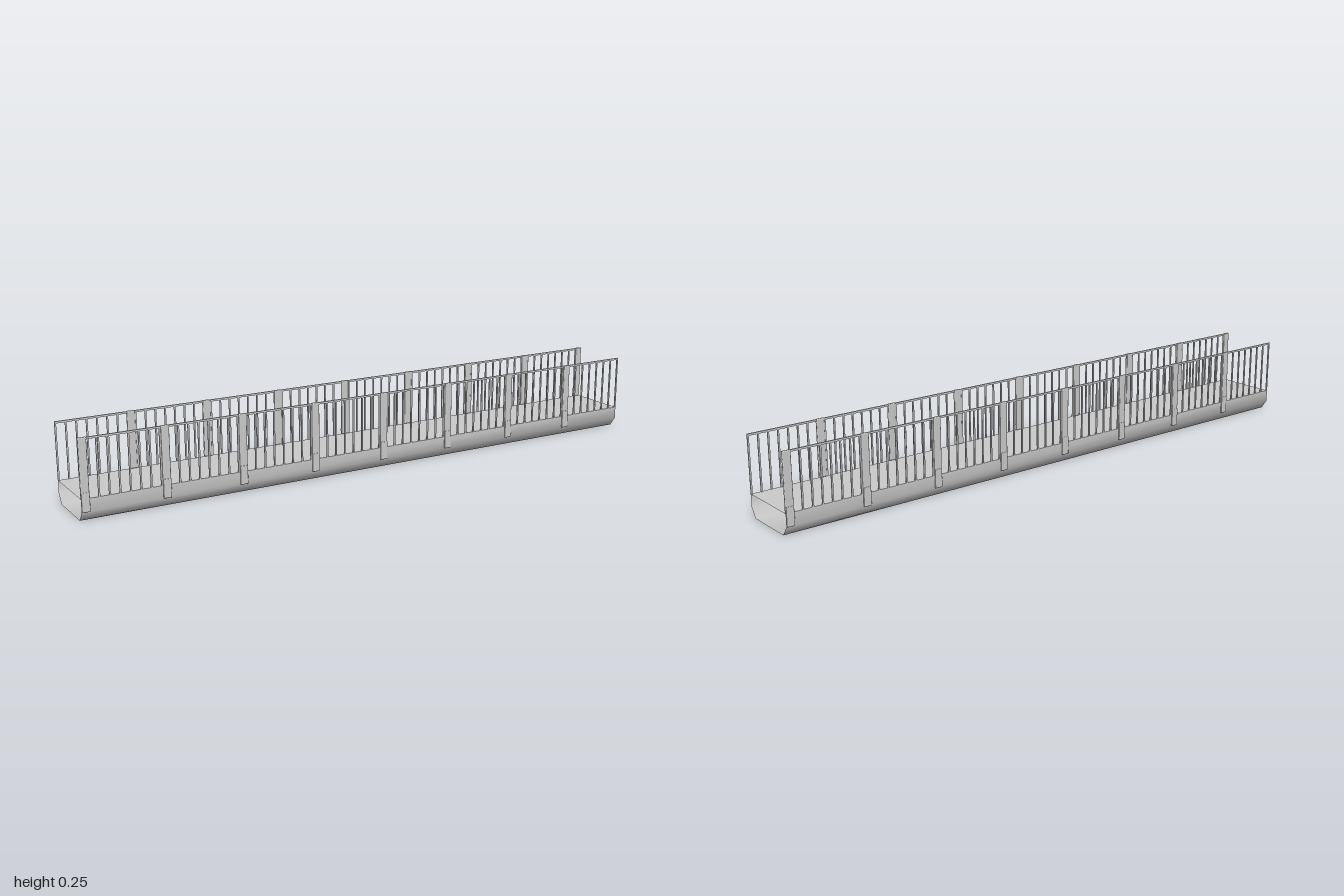
import * as THREE from 'three';
import { RoundedBoxGeometry } from 'three/addons/geometries/RoundedBoxGeometry.js';

const LENGTH = 2, SECTIONS = 8, PITCH = LENGTH / SECTIONS;
const DECK_Y = 0.07, RAIL_TOP = 0.253, HALF_WIDTH = 0.1035;
const POST_WIDTH = 0.026, BARS = 7;

// Thin sheet: a (z, y) profile swept along x, with smooth normals
function sweep(profile) {
  const positions = [], index = [];
  profile.forEach(([z, y], i) => {
    positions.push(-LENGTH / 2, y, z, LENGTH / 2, y, z);
    if (i > 0) {
      const a = 2 * (i - 1);
      index.push(a, a + 2, a + 1, a + 1, a + 2, a + 3);
    }
  });
  const geometry = new THREE.BufferGeometry();
  geometry.setAttribute('position', new THREE.Float32BufferAttribute(positions, 3));
  geometry.setIndex(index);
  geometry.computeVertexNormals();
  return geometry;
}

export function createModel() {
  const model = new THREE.Group();
  model.name = 'footbridge';
  const material = new THREE.MeshStandardMaterial({ color: 0xcccccc });
  const sheet = new THREE.MeshStandardMaterial({ color: 0xcccccc, side: THREE.DoubleSide });

  const add = (parent, name, geometry, mat, x = 0, y = 0, z = 0) => {
    const mesh = new THREE.Mesh(geometry, mat);
    mesh.name = name;
    mesh.position.set(x, y, z);
    parent.add(mesh);
  };

  // Hollow deck, open at both ends
  add(model, 'walkway', sweep([[-HALF_WIDTH, DECK_Y], [HALF_WIDTH, DECK_Y]]), sheet);
  add(model, 'hull', sweep([
    [HALF_WIDTH, DECK_Y], [HALF_WIDTH, 0.03], [0.082, 0],
    [-0.082, 0], [-HALF_WIDTH, 0.03], [-HALF_WIDTH, DECK_Y],
  ]), sheet);

  // Shared railing shapes
  const height = RAIL_TOP - DECK_Y;
  const postGeometry = new RoundedBoxGeometry(POST_WIDTH, height, 0.0095, 2, 0.003);
  const plateGeometry = new RoundedBoxGeometry(POST_WIDTH, 0.06, 0.0045, 2, 0.002);
  const barGeometry = new THREE.BoxGeometry(0.005, height - 0.004, 0.004);
  const railGeometry = new THREE.BoxGeometry(LENGTH, 0.006, 0.005);

  // One railing: each section starts with a post and ends with a bar
  function makeRailing(name) {
    const railing = new THREE.Group();
    railing.name = name;
    const step = (PITCH - POST_WIDTH) / BARS;
    for (let s = 0; s < SECTIONS; s++) {
      const start = -LENGTH / 2 + s * PITCH;
      const postX = start + POST_WIDTH / 2;
      add(railing, 'post', postGeometry, material, postX, DECK_Y + height / 2, 0.1023);
      add(railing, 'postPlate', plateGeometry, material, postX, 0.06, 0.1057);
      for (let b = 1; b <= BARS; b++) {
        const x = start + POST_WIDTH + b * step - 0.0025;
        add(railing, 'baluster', barGeometry, material, x, DECK_Y + (height - 0.004) / 2, 0.102);
      }
    }
    add(railing, 'handrail', railGeometry, material, 0, RAIL_TOP - 0.004, 0.102);
    return railing;
  }

  // The back railing is the front one turned half a circle
  const back = makeRailing('backRailing');
  back.rotation.y = Math.PI;
  model.add(makeRailing('frontRailing'), back);
  return model;
}
